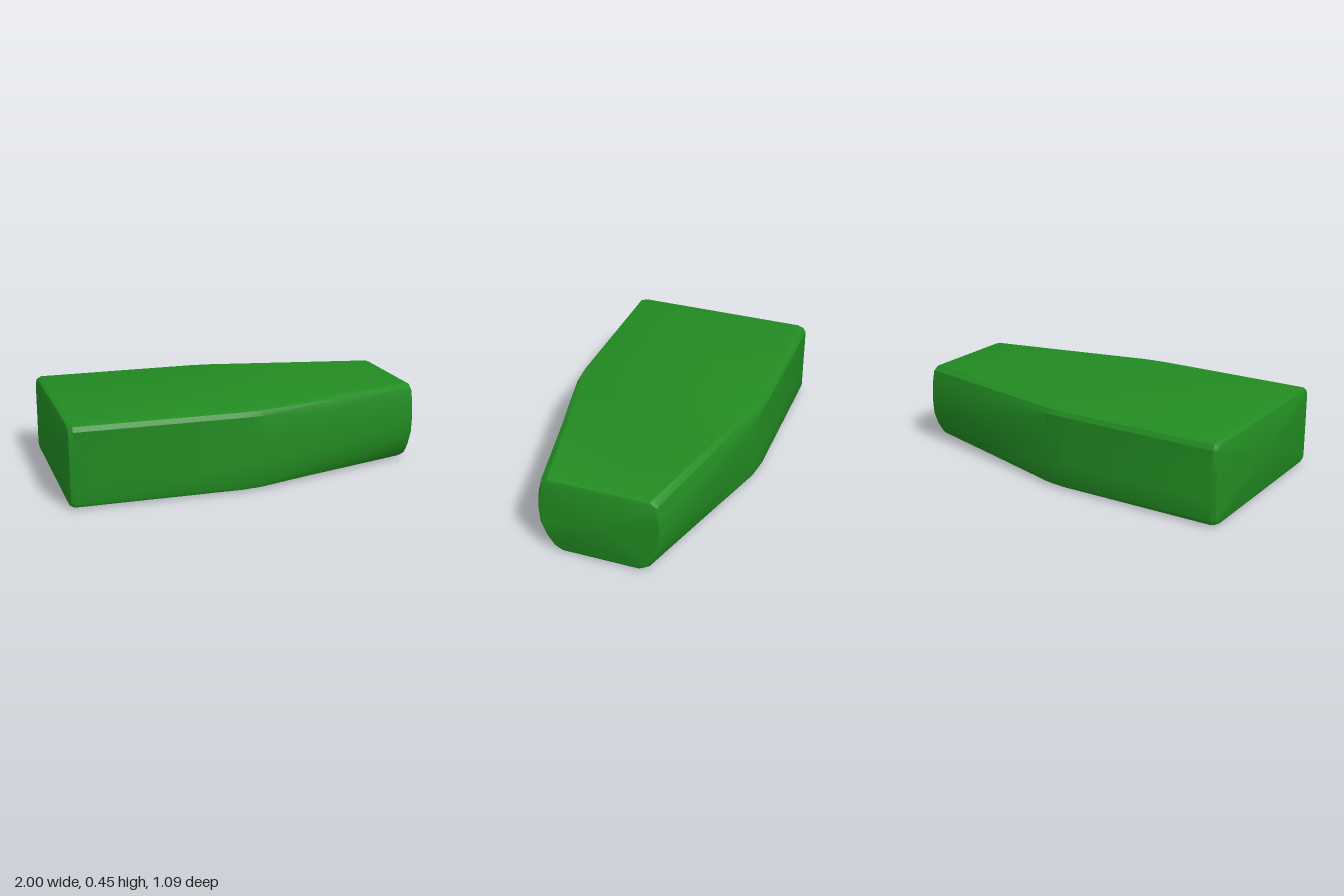
import * as THREE from 'three';
import { toCreasedNormals } from 'three/addons/utils/BufferGeometryUtils.js';

// Half cross-sections as [z, y], from the top edge down to the bottom edge
const BOX = [[0.5, 0.45], [0.53, 0.44], [0.545, 0.415], [0.545, 0.27], [0.545, 0.15], [0.545, 0.035], [0.535, 0.015], [0.5, 0.003]];
const NOSE = [[0.28, 0.455], [0.315, 0.43], [0.332, 0.36], [0.34, 0.27], [0.332, 0.17], [0.3, 0.09], [0.26, 0.03], [0.215, 0.005]];
const MID_Y = 0.23;

// Stations along x: [x, blend from box to nose, inset]
const STATIONS = [
  [-1, 0, 0.028], [-0.992, 0, 0.01], [-0.97, 0, 0], [-0.08, 0, 0],
  [0.03, 0.045, 0], [0.5, 0.52, 0], [0.972, 0.99, 0], [0.993, 1, 0.008], [1, 1, 0.022],
];

// Full closed ring of [z, y], counter-clockwise as seen from +x
function ring(blend, inset) {
  const half = BOX.map(([z, y], i) => {
    const pz = THREE.MathUtils.lerp(z, NOSE[i][0], blend);
    const py = THREE.MathUtils.lerp(y, NOSE[i][1], blend);
    return [pz * (1 - inset / 0.5), MID_Y + (py - MID_Y) * (1 - inset / 0.225)];
  });
  return [...half, ...half.map(([z, y]) => [-z, y]).reverse()];
}

function loftGeometry() {
  const positions = [];
  const index = [];
  const n = BOX.length * 2;
  for (const [x, blend, inset] of STATIONS) {
    for (const [z, y] of ring(blend, inset)) positions.push(x, y, z);
  }
  const last = STATIONS.length - 1;
  const leftCentre = n * STATIONS.length;
  positions.push(-1, MID_Y, 0, 1, MID_Y, 0);

  for (let k = 0; k < n; k++) {
    const next = (k + 1) % n;
    // Skin between stations
    for (let i = 0; i < last; i++) {
      const a = i * n + k, b = a + n, d = i * n + next, c = d + n;
      index.push(a, d, b, b, d, c);
    }
    // Flat ends
    index.push(leftCentre, next, k);
    index.push(leftCentre + 1, last * n + k, last * n + next);
  }

  const geometry = new THREE.BufferGeometry();
  geometry.setAttribute('position', new THREE.Float32BufferAttribute(positions, 3));
  geometry.setIndex(index);
  return toCreasedNormals(geometry, 0.5);
}

export function createModel() {
  const group = new THREE.Group();
  group.name = 'taperedBlock';
  // Wide block tapering to a rounded nose at +x
  const body = new THREE.Mesh(loftGeometry(), new THREE.MeshStandardMaterial({ color: 0x228b22 }));
  body.name = 'body';
  group.add(body);
  return group;
}
